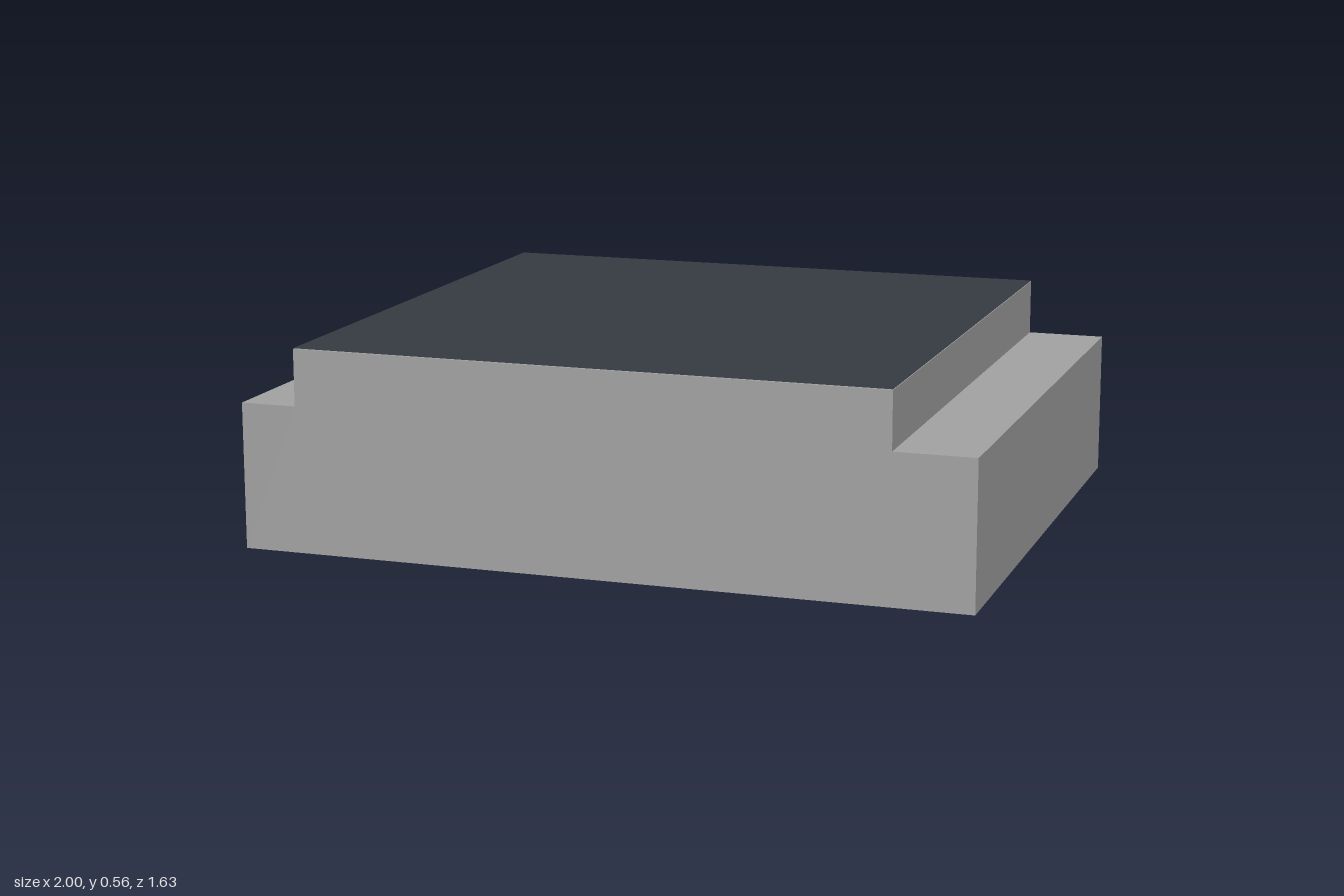
import * as THREE from 'three';

export function createModel() {
  const model = new THREE.Group();
  model.name = 'steppedBlock';

  const grey = new THREE.MeshStandardMaterial({ color: 0xa0a0a0 });
  grey.name = 'grey';
  const slate = new THREE.MeshStandardMaterial({ color: 0x353a42 });
  slate.name = 'dark slate';

  const depth = 1.63, ledge = 0.4, top = 0.555;
  const ridgeRight = -0.845, ridgeLeft = 0.782;

  // Body: stepped profile with a ledge on each side, extruded front to back
  const profile = new THREE.Shape([
    [-1, 0], [1, 0], [1, ledge], [ridgeLeft, ledge],
    [ridgeLeft, top], [ridgeRight, top], [ridgeRight, ledge], [-1, ledge],
  ].map(([x, y]) => new THREE.Vector2(x, y)));
  const bodyGeometry = new THREE.ExtrudeGeometry(profile, { depth, bevelEnabled: false });
  bodyGeometry.translate(0, 0, -depth / 2);
  const body = new THREE.Mesh(bodyGeometry, grey);
  body.name = 'body';
  model.add(body);

  // Top surface: dark face lying on the raised centre
  const topGeometry = new THREE.PlaneGeometry(ridgeLeft - ridgeRight, depth);
  topGeometry.rotateX(-Math.PI / 2);
  const topSurface = new THREE.Mesh(topGeometry, slate);
  topSurface.name = 'topSurface';
  topSurface.position.set((ridgeLeft + ridgeRight) / 2, top + 0.002, 0);
  model.add(topSurface);

  return model;
}
